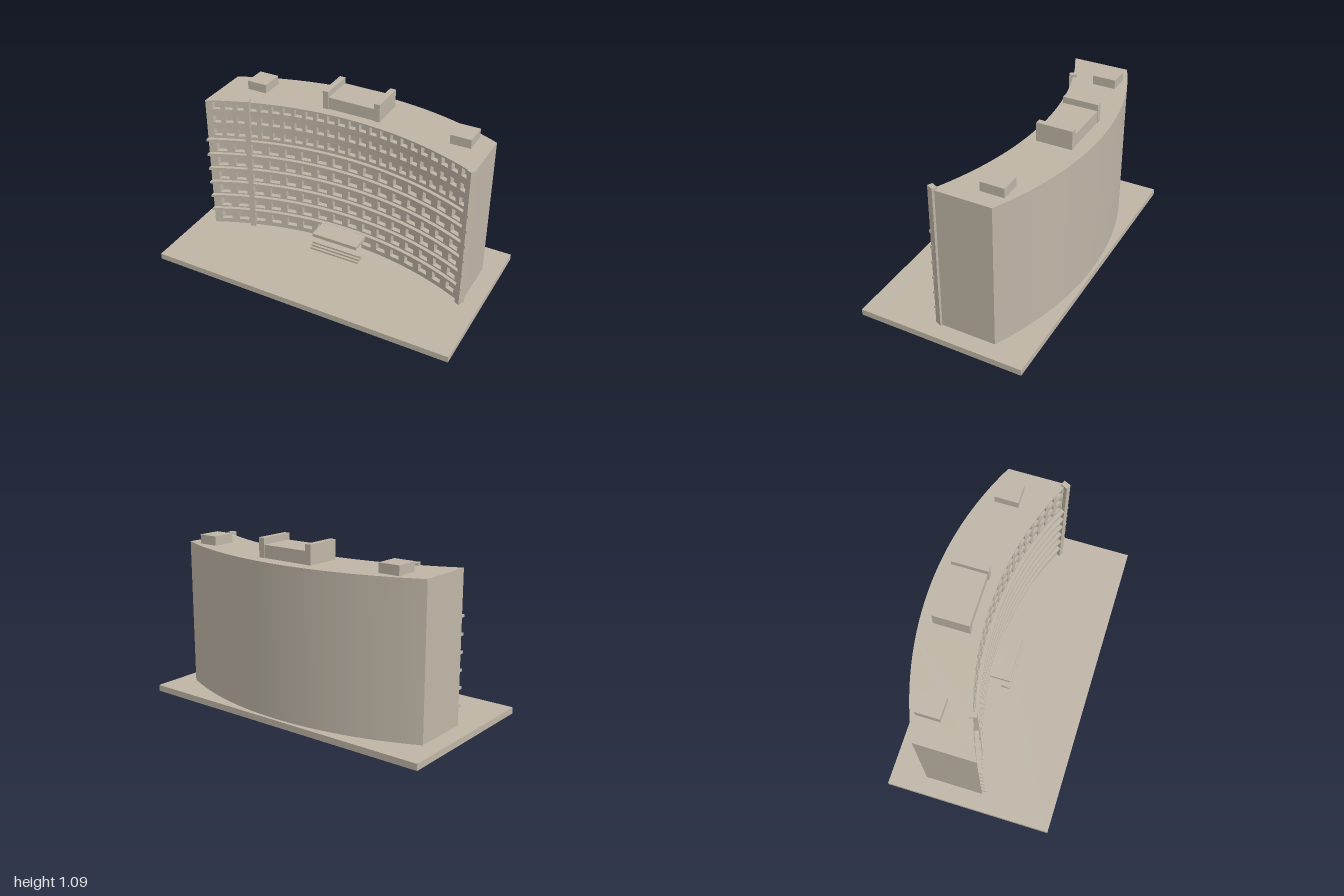
import * as THREE from 'three';
import { mergeGeometries } from 'three/addons/utils/BufferGeometryUtils.js';

const R = 2.034, HALF = 0.89, GROUND = 0.04, ROOF = 0.97, RECESS = 0.032;
const FRONT = -0.14, BACK = -0.51;

// z of the curved plan line whose middle lies at z0
const arcZ = (x, z0) => z0 + R - Math.sqrt(R * R - x * x);

// upright prism from plan points [x, z]
function prism(points, y0, y1) {
  const shape = new THREE.Shape(points.map(([x, z]) => new THREE.Vector2(x, -z)));
  const geo = new THREE.ExtrudeGeometry(shape, { depth: y1 - y0, bevelEnabled: false });
  return geo.rotateX(-Math.PI / 2).translate(0, y0, 0);
}

// curved slab between a front and a back arc
function arcSlab(x0, x1, y0, y1, zFront, zBack) {
  const n = Math.max(2, Math.round((x1 - x0) * 27));
  const front = [], back = [];
  for (let i = 0; i <= n; i++) {
    const x = x0 + (x1 - x0) * i / n;
    front.push([x, arcZ(x, zFront)]);
    back.unshift([x, arcZ(x, zBack)]);
  }
  return prism([...front, ...back], y0, y1);
}

// wall pier between two windows, with sides square to the facade
function wallPier(x0, x1, y0, y1) {
  const inner = (x) => {
    const k = 1 + 0.05 / R;
    return [x * k, FRONT + R - Math.sqrt(R * R - x * x) * k];
  };
  const mid = (x0 + x1) / 2;
  const front = [x0, mid, x1].map((x) => [x, arcZ(x, FRONT)]);
  return prism([...front, inner(x1), inner(x0)], y0, y1);
}

export function createModel() {
  const group = new THREE.Group();
  const stone = new THREE.MeshStandardMaterial({ color: 0xbeb5a6 });
  stone.name = 'stone';

  const add = (name, geo) => {
    const mesh = new THREE.Mesh(geo, stone);
    mesh.name = name;
    group.add(mesh);
    return mesh;
  };
  const box = (name, x0, x1, y0, y1, z0, z1) =>
    add(name, new THREE.BoxGeometry(x1 - x0, y1 - y0, z1 - z0)
      .translate((x0 + x1) / 2, (y0 + y1) / 2, (z0 + z1) / 2));

  box('basePlate', -1, 1, 0, GROUND, -0.53, 0.53);
  add('buildingBody', arcSlab(-HALF, HALF, GROUND, ROOF, FRONT - RECESS, BACK));

  // window rows: six tall storeys with wide windows, three with narrow ones
  const rows = [];
  for (let i = 0; i < 6; i++) {
    rows.push({ y: 0.1 + i * 0.1065, h: 0.06, w: 0.066, n: 16, x0: -0.815, x1: 0.795 });
  }
  for (let i = 0; i < 3; i++) {
    rows.push({ y: 0.745 + i * 0.0945, h: 0.05, w: 0.05, n: 24, x0: -0.83, x1: 0.83 });
  }

  // facade: full bands between rows, piers between openings
  const door = [-0.12, 0.115];
  const facade = [];
  let bandStart = GROUND;
  rows.forEach((row, r) => {
    const y0 = row.y - row.h / 2, y1 = row.y + row.h / 2;
    if (r === 0) {
      facade.push(arcSlab(-HALF, door[0], bandStart, y0, FRONT, FRONT - 0.05));
      facade.push(arcSlab(door[1], HALF, bandStart, y0, FRONT, FRONT - 0.05));
    } else {
      facade.push(arcSlab(-HALF, HALF, bandStart, y0, FRONT, FRONT - 0.05));
    }
    let openings = [];
    for (let c = 0; c < row.n; c++) {
      const x = row.x0 + (row.x1 - row.x0) * c / (row.n - 1);
      const w = row.w * Math.sqrt(1 - (x / R) ** 2);
      openings.push([x - w / 2, x + w / 2]);
    }
    if (r === 0) {
      openings = openings.filter(([a, b]) => Math.abs(a + b) / 2 > 0.12);
      openings.push(door);
      openings.sort((a, b) => a[0] - b[0]);
    }
    // end pieces keep the flat end walls
    facade.push(arcSlab(-HALF, openings[0][0], y0, y1, FRONT, FRONT - 0.05));
    facade.push(arcSlab(openings[openings.length - 1][1], HALF, y0, y1, FRONT, FRONT - 0.05));
    for (let c = 1; c < openings.length; c++) {
      facade.push(wallPier(openings[c - 1][1], openings[c][0], y0, y1));
    }
    bandStart = y1;
  });
  facade.push(arcSlab(-HALF, HALF, bandStart, ROOF, FRONT, FRONT - 0.05));
  add('facade', mergeGeometries(facade));

  // ledges between the lower storeys
  for (let i = 0; i < 6; i++) {
    const y = 0.149 + i * 0.1068;
    add('ledge', arcSlab(-HALF, HALF, y, y + 0.017, FRONT + 0.025, FRONT - 0.01));
  }

  // tall fins turned to follow the curve
  for (const [x, z] of [[-0.645, -0.034], [0.878, 0.06]]) {
    const fin = add('fin', new THREE.BoxGeometry(0.033, 0.945, 0.046));
    fin.position.set(x, GROUND + 0.4725, z);
    fin.rotation.y = -Math.asin(x / R);
  }

  // entrance canopy and steps
  box('canopy', -0.16, 0.155, 0.142, 0.165, -0.15, 0.022);
  for (let i = 0; i < 3; i++) {
    box('step', -0.175, 0.17, GROUND, 0.052 + i * 0.012, -0.03, 0.026 - i * 0.016);
  }

  // roof structures
  box('roofRoomRight', -0.735, -0.602, ROOF, 1.028, -0.34, -0.192);
  box('roofRoomLeft', 0.652, 0.782, ROOF, 1.028, -0.318, -0.17);
  box('roofHall', -0.16, 0.155, ROOF, 1.048, -0.417, -0.202);
  box('roofHallWall', -0.195, -0.157, ROOF, 1.088, -0.42, -0.195);
  box('roofHallWall', 0.152, 0.19, ROOF, 1.088, -0.42, -0.195);

  return group;
}
